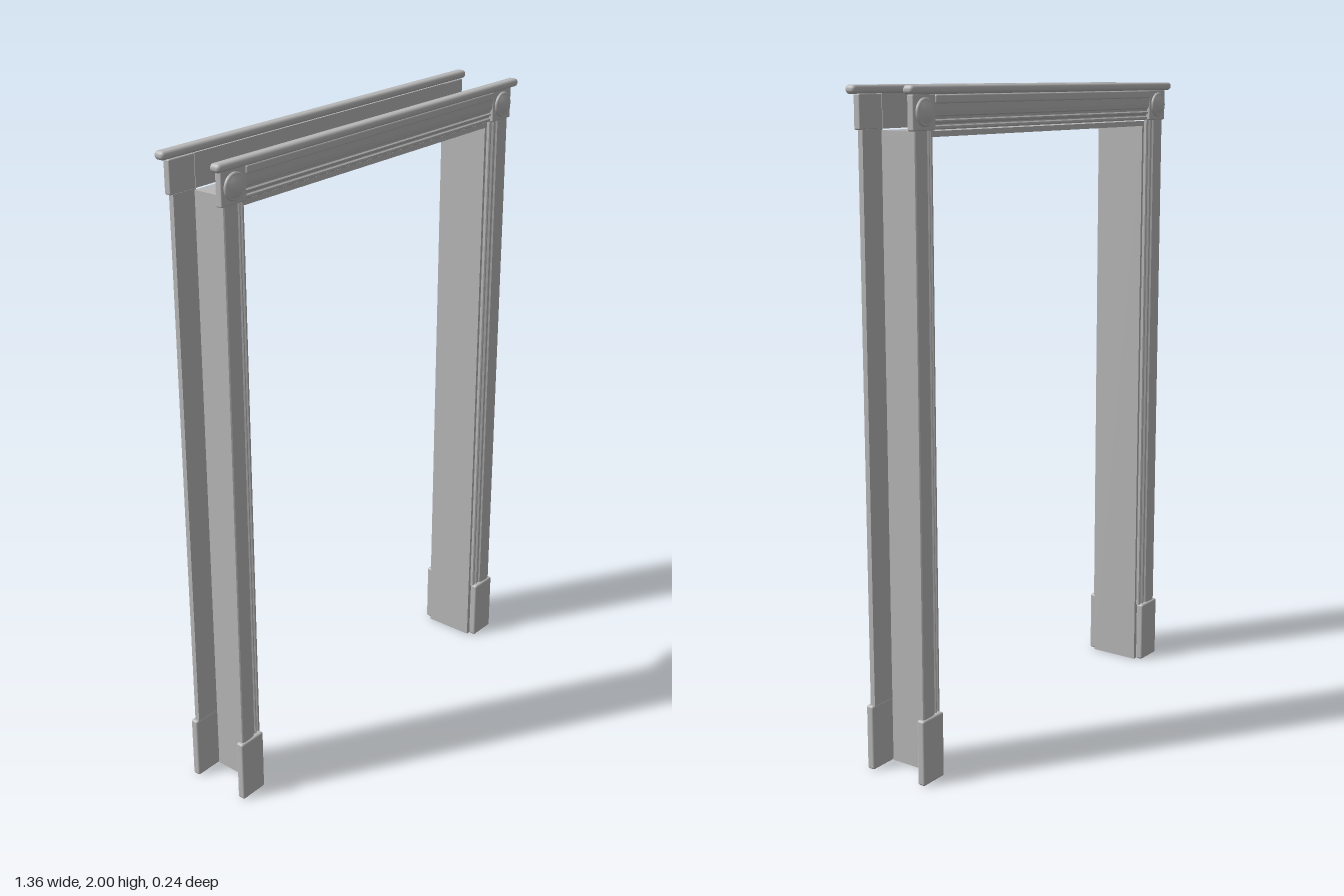
import * as THREE from 'three';
import { RoundedBoxGeometry } from 'three/addons/geometries/RoundedBoxGeometry.js';

const paint = new THREE.MeshStandardMaterial({ color: 0xb8b8b8 });
paint.name = 'grey paint';

const OPEN = 0.555;   // half width of the opening
const FACE = 0.083;   // half depth of the wall lining
const CASE = 0.565;   // inner edge of the casing
const HEAD = 1.88;    // underside of the head casing

function add(parent, name, geometry, x = 0, y = 0, z = 0) {
  const mesh = new THREE.Mesh(geometry, paint);
  mesh.name = name;
  mesh.position.set(x, y, z);
  parent.add(mesh);
  return mesh;
}

// Moulded casing: across is width from the inner edge, height is relief
function casing(side, width, length) {
  const k = width / 0.085;
  const profile = [
    [0, 0], [0, 0.009], [0.003, 0.012], [0.008, 0.012], [0.011, 0.008],
    [0.014, 0.008], [0.018, 0.014], [0.022, 0.015], [0.025, 0.011], [0.031, 0.012],
    [0.034, 0.017], [0.045, 0.019], [0.06, 0.02], [0.075, 0.02], [0.082, 0.019],
    [0.085, 0.016], [0.085, 0],
  ];
  const shape = new THREE.Shape(profile.map(([u, v]) => new THREE.Vector2(side * u * k, v)));
  const geo = new THREE.ExtrudeGeometry(shape, { depth: length, bevelEnabled: false });
  return geo.rotateX(Math.PI / 2); // runs downward, relief toward +z
}

// Domed round ornament facing +z
function rosette() {
  const pts = [[0.039, 0], [0.039, 0.004], [0.036, 0.008], [0.033, 0.007], [0.031, 0.007],
    [0.024, 0.011], [0.014, 0.0145], [0.006, 0.016], [0, 0.016]];
  const geo = new THREE.LatheGeometry(pts.map(([r, h]) => new THREE.Vector2(r, h)), 32);
  return geo.rotateX(Math.PI / 2);
}

// Complete trim for one side of the doorway
function trim(name) {
  const g = new THREE.Group();
  g.name = name;
  for (const s of [-1, 1]) {
    add(g, 'legCasing', casing(s, 0.085, HEAD - 0.2), s * CASE, HEAD, FACE);
    add(g, 'plinthBlock', new RoundedBoxGeometry(0.095, 0.202, 0.026, 3, 0.007), s * 0.6125, 0.101, FACE + 0.013);
    add(g, 'cornerBlock', new RoundedBoxGeometry(0.096, 0.097, 0.022, 2, 0.004), s * 0.6125, 1.9275, FACE + 0.011);
    add(g, 'rosette', rosette(), s * 0.6125, 1.928, FACE + 0.0215);
  }
  const head = casing(1, 0.096, 2 * CASE).rotateZ(Math.PI / 2);
  add(g, 'headCasing', head, -CASE, HEAD, FACE);
  // Slim bead along the upper part of the head
  add(g, 'headBead', new RoundedBoxGeometry(2 * CASE, 0.024, 0.025, 2, 0.005), 0, 1.962, FACE + 0.0125);
  add(g, 'crownRail', new RoundedBoxGeometry(1.364, 0.025, 0.036, 4, 0.0115), 0, 1.9875, FACE + 0.018);
  return g;
}

export function createModel() {
  const model = new THREE.Group();
  model.name = 'doorFrame';

  // Lining: two jambs and the head board
  for (const s of [-1, 1]) {
    add(model, 'jamb', new THREE.BoxGeometry(0.015, 1.86, 2 * FACE), s * (OPEN + 0.0075), 0.93, 0);
  }
  add(model, 'headJamb', new THREE.BoxGeometry(2 * OPEN + 0.03, 0.016, 2 * FACE), 0, 1.868, 0);

  // Matching trim on both faces
  model.add(trim('frontTrim'));
  const back = trim('backTrim');
  back.rotation.y = Math.PI;
  model.add(back);
  return model;
}
